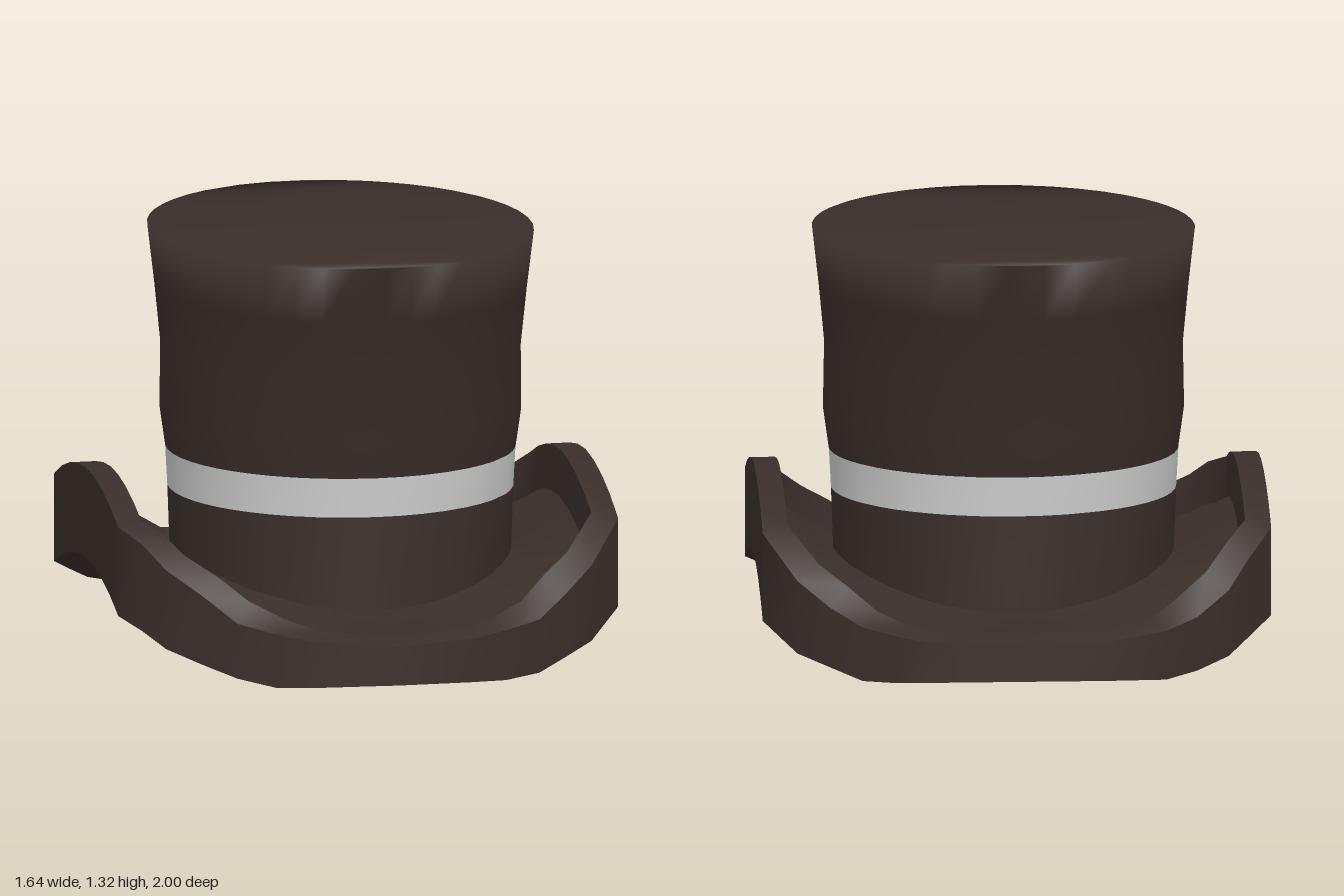
import * as THREE from 'three';
import { toCreasedNormals } from 'three/addons/utils/BufferGeometryUtils.js';

// Piecewise-linear curve through [position, value] pairs
function curve(points) {
  return (t) => {
    for (let i = 1; i < points.length; i++) {
      const [a, va] = points[i - 1], [b, vb] = points[i];
      if (t <= b) return va + ((vb - va) * (t - a)) / (b - a);
    }
    return points[points.length - 1][1];
  };
}

// Arched underside and lip heights of the brim, by distance |z|
const underside = curve([[0, 0.27], [0.15, 0.262], [0.3, 0.238], [0.45, 0.2], [0.57, 0.158], [0.75, 0.07], [0.9, 0.005], [1, 0.02]]);
const lip = curve([[0, 0.565], [0.15, 0.555], [0.3, 0.53], [0.45, 0.49], [0.57, 0.445], [0.72, 0.33], [0.85, 0.2], [0.92, 0.17], [1, 0.148]]);

// Brim corners seen from above, counterclockwise from the front
const corners = [
  [0, 1], [0.24, 0.97], [0.48, 0.87], [0.68, 0.72], [0.8, 0.56], [0.82, -0.58],
  [0.72, -0.74], [0.52, -0.89], [0.33, -0.99], [-0.26, -1], [-0.45, -0.93],
  [-0.66, -0.78], [-0.81, -0.58], [-0.82, 0.5], [-0.7, 0.68], [-0.5, 0.84], [-0.27, 0.95],
];

// Long straight edges are subdivided so that they can arch
function subdivide(points) {
  const out = [];
  points.forEach(([x, z], i) => {
    const [nx, nz] = points[(i + 1) % points.length];
    const steps = Math.max(1, Math.round(Math.hypot(nx - x, nz - z) / 0.14));
    for (let k = 0; k < steps; k++) out.push([x + ((nx - x) * k) / steps, z + ((nz - z) * k) / steps]);
  });
  return out;
}
const outline = subdivide(corners);
const angles = outline.map(([x, z]) => Math.atan2(x / 0.82, z));

// Skin over equal-length closed rings of [x, y, z]
function loft(rings, { closed = false, cap = false } = {}) {
  const n = rings[0].length, index = [];
  const rows = closed ? rings.length : rings.length - 1;
  for (let i = 0; i < rows; i++) {
    const k = (i + 1) % rings.length;
    for (let j = 0; j < n; j++) {
      const m = (j + 1) % n;
      index.push(i * n + j, i * n + m, k * n + m, i * n + j, k * n + m, k * n + j);
    }
  }
  if (cap) {
    const base = (rings.length - 1) * n;
    for (let l = 0, r = n - 1; l + 1 < r; l++, r--) {
      index.push(base + l, base + l + 1, base + r);
      if (l + 1 < r - 1) index.push(base + l + 1, base + r - 1, base + r);
    }
  }
  const geometry = new THREE.BufferGeometry();
  geometry.setAttribute('position', new THREE.Float32BufferAttribute(rings.flat(2), 3));
  geometry.setIndex(index);
  geometry.computeVertexNormals();
  return geometry;
}

// Oval ring of the crown
const oval = (y, rx, rz) => angles.map((a) => [0.01 + rx * Math.sin(a), y, -0.013 + rz * Math.cos(a)]);

// Lower rim of the crown, following the saddle of the brim
const saddle = (lift) => oval(0, 0.545, 0.575).map(([x, , z]) => [x, underside(Math.abs(z)) + lift, z]);

function brimGeometry() {
  const ring = (sx, sz, height) => outline.map(([x, z]) => {
    const px = x * sx, pz = z * sz;
    return [px, height(px, Math.abs(pz)), pz];
  });
  const under = (x, z) => underside(z);
  const edge = (x, z) => lip(z);
  // The floor lies deep below the lip at the sides and close to it at the ends
  const floor = (x, z) => THREE.MathUtils.lerp(underside(z), lip(z),
    THREE.MathUtils.lerp(0.9, 0.5, THREE.MathUtils.smoothstep(Math.abs(x), 0, 0.6)));
  const outer = ring(1, 1, under);
  const hole = saddle(0);
  const between = (t) => hole.map(([x, , z], i) => {
    const pz = THREE.MathUtils.lerp(z, outer[i][2], t);
    return [THREE.MathUtils.lerp(x, outer[i][0], t), underside(Math.abs(pz)), pz];
  });
  const geometry = loft([
    outer, ring(1, 1, edge), ring(0.9, 0.93, edge), ring(0.89, 0.9, floor),
    saddle(0.02), hole, between(0.33), between(0.7),
  ], { closed: true });
  return toCreasedNormals(geometry, 0.6);
}

export function createModel() {
  const felt = new THREE.MeshStandardMaterial({ color: 0x3a2e2a, side: THREE.DoubleSide });
  const ribbon = new THREE.MeshStandardMaterial({ color: 0xcccccc, side: THREE.DoubleSide });
  const hat = new THREE.Group();
  hat.name = 'topHat';
  const add = (name, geometry, material) => {
    const mesh = new THREE.Mesh(geometry, material);
    mesh.name = name;
    hat.add(mesh);
  };

  add('brim', brimGeometry(), felt);
  add('lowerCrown', loft([saddle(0), oval(0.485, 0.553, 0.58)]), felt);
  add('hatBand', loft([oval(0.485, 0.553, 0.58), oval(0.612, 0.56, 0.583)]), ribbon);
  add('upperCrown', loft([
    oval(0.612, 0.56, 0.583), oval(0.74, 0.578, 0.61), oval(0.95, 0.574, 0.65),
    oval(1.14, 0.592, 0.7), oval(1.326, 0.613, 0.75),
  ], { cap: true }), felt);
  return hat;
}
